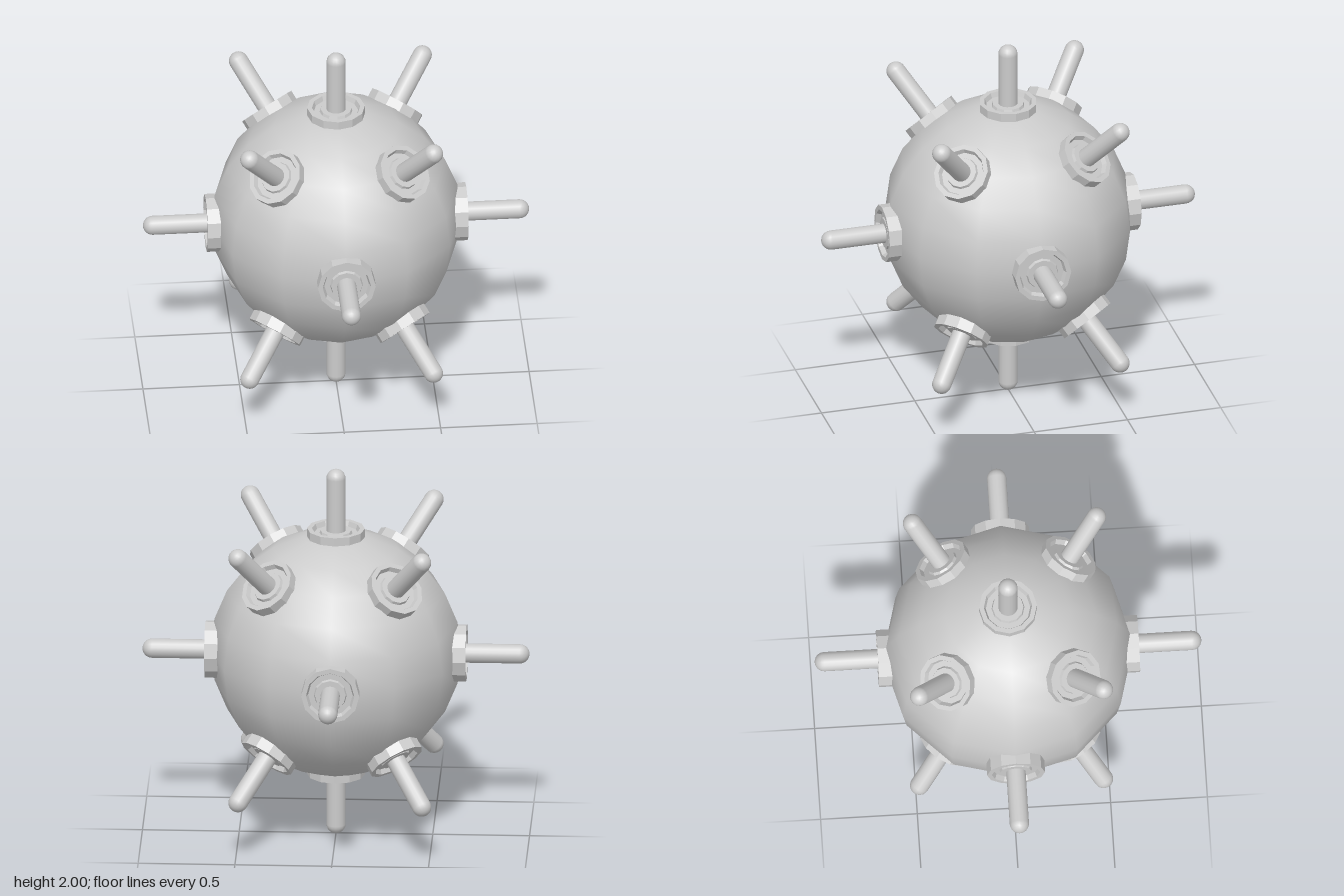
import * as THREE from 'three';

const material = new THREE.MeshStandardMaterial({ color: 0xcccccc });
const flatMaterial = new THREE.MeshStandardMaterial({ color: 0xcccccc, flatShading: true });

// Stepped socket: outer rim, recess and a raised collar around the rod
const socketProfile = [
  [0.15, 0.58], [0.15, 0.675], [0.125, 0.675], [0.115, 0.65],
  [0.085, 0.65], [0.08, 0.665], [0.045, 0.665],
].map(([r, y]) => new THREE.Vector2(r, y));
const socketGeometry = new THREE.LatheGeometry(socketProfile, 12);

// Round-ended rod reaching from inside the hull to radius 1
const rodGeometry = new THREE.CapsuleGeometry(0.05, 0.37, 6, 16).translate(0, 0.765, 0);

function createHorn(direction) {
  const horn = new THREE.Group();
  horn.name = 'horn';
  const socket = new THREE.Mesh(socketGeometry, flatMaterial);
  socket.name = 'socket';
  const rod = new THREE.Mesh(rodGeometry, material);
  rod.name = 'rod';
  horn.add(socket, rod);
  horn.quaternion.setFromUnitVectors(new THREE.Vector3(0, 1, 0), direction);
  return horn;
}

export function createModel() {
  const model = new THREE.Group();
  model.name = 'hornedSphere';

  // Faceted outline, smooth shading
  const hull = new THREE.Mesh(new THREE.SphereGeometry(0.65, 12, 12), material);
  hull.name = 'hull';
  model.add(hull);

  // Horns at both poles
  model.add(createHorn(new THREE.Vector3(0, 1, 0)));
  const bottom = createHorn(new THREE.Vector3(0, 1, 0));
  bottom.rotation.set(Math.PI, 0, 0);
  model.add(bottom);

  // Four equator horns, and four diagonal ones above and below
  for (let i = 0; i < 4; i++) {
    const turn = (i * Math.PI) / 2;
    model.add(createHorn(new THREE.Vector3(Math.cos(turn), 0, Math.sin(turn))));
    const a = turn + THREE.MathUtils.degToRad(46.3);
    for (const side of [1, -1]) {
      model.add(createHorn(new THREE.Vector3(Math.cos(a), side, Math.sin(a)).normalize()));
    }
  }

  model.children.forEach((part) => { part.position.y = 1; });
  return model;
}
